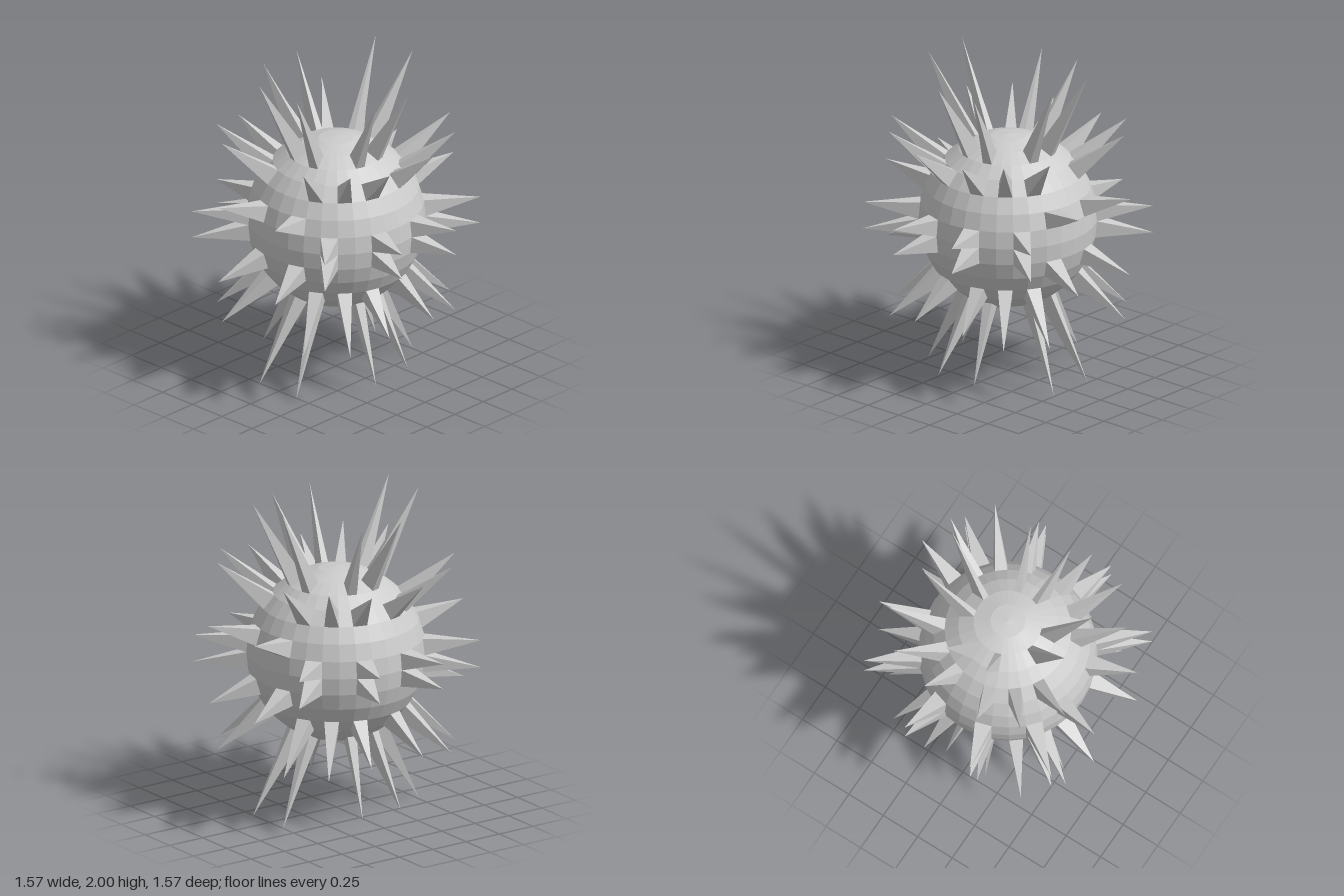
import * as THREE from 'three';
import { mergeGeometries } from 'three/addons/utils/BufferGeometryUtils.js';

const RADIUS = 0.545;
const STEP = Math.PI / 16; // angular size of one sphere facet

// Point at a longitude (from +x towards +z) and latitude, counted in facets
function polar(lon, lat, r) {
  const a = lon * STEP, b = lat * STEP;
  return new THREE.Vector3(Math.cos(b) * Math.cos(a), Math.sin(b), Math.cos(b) * Math.sin(a)).multiplyScalar(r);
}

// Four-sided spike growing radially out of one facet
function spikeGeometry(lon, lat, length) {
  const base = [[-0.5, -0.5], [-0.5, 0.5], [0.5, 0.5], [0.5, -0.5]]
    .map(([u, v]) => polar(lon + u, lat + v, RADIUS));
  const tip = polar(lon, lat, length);
  const points = [];
  base.forEach((corner, i) => points.push(corner, base[(i + 1) % 4], tip));
  const geometry = new THREE.BufferGeometry().setFromPoints(points);
  geometry.computeVertexNormals();
  return geometry;
}

// Each kind of spike: name, longitude, latitude, tip distance from the centre
const SPIKES = [
  ['tallPolarSpikes', 6.5, 5.5, 1.133],
  ['sidePolarSpikes', 1.5, 5.5, 1.052],
  ['frontUpperSpikes', 5.5, 3.5, 0.944],
  ['cornerUpperSpikes', 3.5, 3.5, 0.944],
  ['sideUpperSpikes', 1.5, 3.5, 0.862],
  ['frontSpikes', 6.5, 1.5, 0.856],
  ['cornerEquatorSpikes', 4.5, 0.5, 0.888],
  ['sideEquatorSpikes', 1.5, 0.5, 0.825],
];

export function createModel() {
  const model = new THREE.Group();
  model.name = 'spikedBall';
  const material = new THREE.MeshStandardMaterial({ color: 0xcccccc, flatShading: true });

  // Faceted ball
  const body = new THREE.Mesh(new THREE.SphereGeometry(RADIUS, 32, 16), material);
  body.name = 'ball';
  body.position.y = 1;
  model.add(body);

  // Every spike is repeated in all eight octants
  for (const [name, lon, lat, length] of SPIKES) {
    const parts = [];
    for (const l of [lon, 16 - lon, 16 + lon, 32 - lon]) {
      for (const side of [1, -1]) parts.push(spikeGeometry(l, side * lat, length));
    }
    const spikes = new THREE.Mesh(mergeGeometries(parts), material);
    spikes.name = name;
    spikes.position.y = 1;
    model.add(spikes);
  }
  return model;
}
